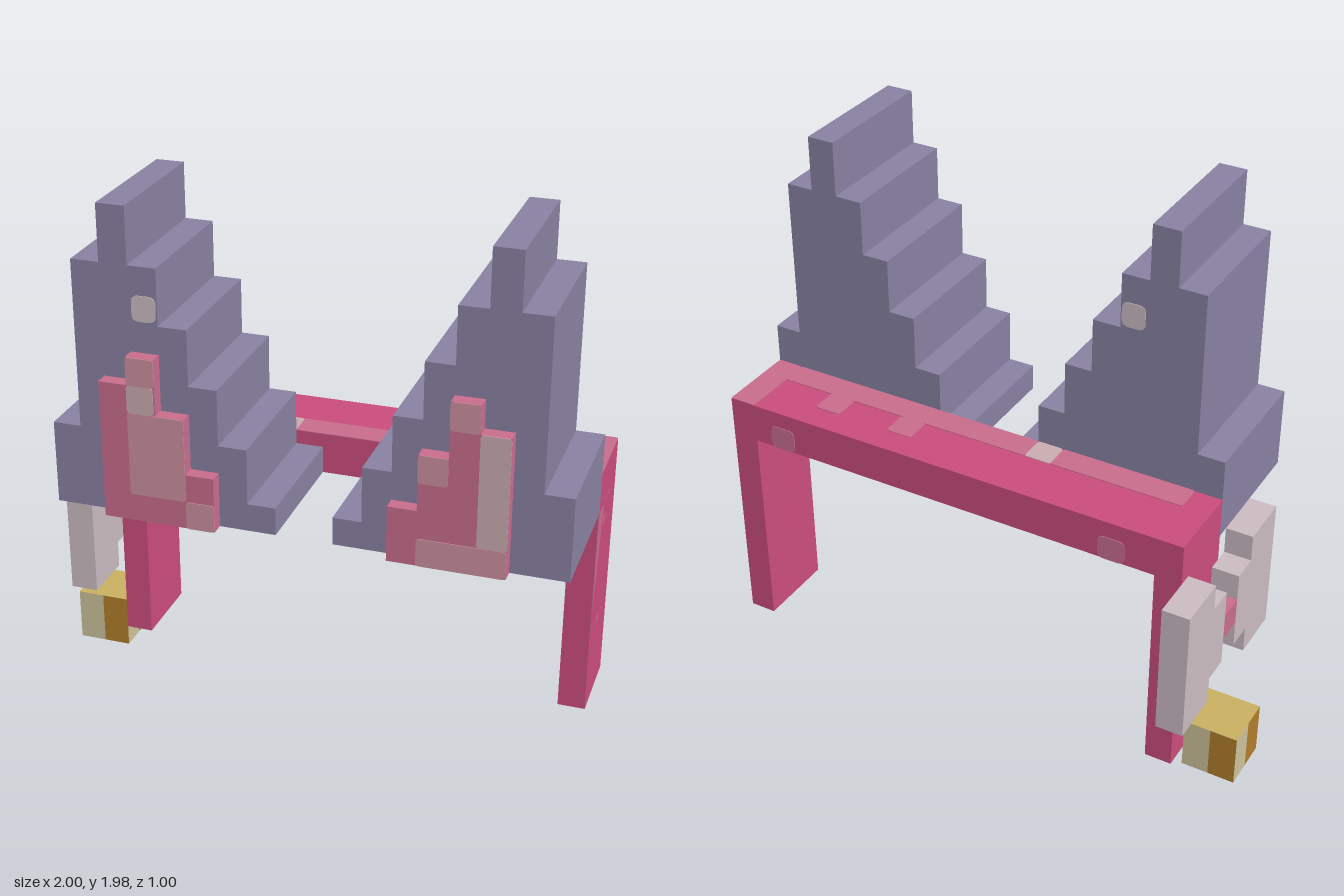
import * as THREE from 'three';

const mat = (name, color) => new THREE.MeshStandardMaterial({ name, color });

export function createModel() {
  const model = new THREE.Group();
  const slate = mat('slate purple', 0x8780a0);
  const pink = mat('strong pink', 0xc94c7c);
  const rose = mat('rose', 0xc76c8c);
  const blush = mat('blush', 0xc98f9c);
  const pale = mat('pale blush', 0xc9aaae);
  const ribbon = mat('greyish ribbon', 0xc9bac0);
  const gold = mat('gold', 0xc8b060);
  const cream = mat('cream', 0xcbc09a);
  const brown = mat('brown', 0xb07c2c);

  const add = (name, geometry, material) => {
    const mesh = new THREE.Mesh(geometry, material);
    mesh.name = name;
    model.add(mesh);
    return mesh;
  };

  // Box given by its limits on each axis
  const box = (name, material, x0, x1, y0, y1, z0, z1) =>
    add(name, new THREE.BoxGeometry(x1 - x0, y1 - y0, z1 - z0), material)
      .position.set((x0 + x1) / 2, (y0 + y1) / 2, (z0 + z1) / 2);

  // Stepped silhouette: one column per 0.1 unit, extruded along z
  const steps = (name, material, xs, dir, heights, z0, z1) => {
    const base = 0.88;
    const pts = [new THREE.Vector2(xs, base)];
    heights.forEach((h, i) => {
      pts.push(new THREE.Vector2(xs + dir * i * 0.1, h), new THREE.Vector2(xs + dir * (i + 1) * 0.1, h));
    });
    pts.push(new THREE.Vector2(xs + dir * heights.length * 0.1, base));
    const geo = new THREE.ExtrudeGeometry(new THREE.Shape(pts), { depth: z1 - z0, bevelEnabled: false });
    geo.translate(0, 0, z0);
    add(name, geo, material);
  };

  // Thin rounded patch lying on a face that looks along 'facing'
  const patch = (name, material, facing, at, u0, u1, v0, v1, r = 0.012) => {
    const w = (u1 - u0) / 2, h = (v1 - v0) / 2;
    const s = new THREE.Shape();
    s.moveTo(-w + r, -h);
    s.lineTo(w - r, -h); s.quadraticCurveTo(w, -h, w, -h + r);
    s.lineTo(w, h - r); s.quadraticCurveTo(w, h, w - r, h);
    s.lineTo(-w + r, h); s.quadraticCurveTo(-w, h, -w, h - r);
    s.lineTo(-w, -h + r); s.quadraticCurveTo(-w, -h, -w + r, -h);
    const m = add(name, new THREE.ExtrudeGeometry(s, { depth: 0.003, bevelEnabled: false, curveSegments: 4 }), material);
    const u = (u0 + u1) / 2, v = (v0 + v1) / 2;
    if (facing === 'front') m.position.set(u, v, at);
    if (facing === 'back') { m.position.set(u, v, at); m.rotation.y = Math.PI; }
    if (facing === 'side') { m.position.set(at, v, u); m.rotation.y = Math.PI / 2; }
    if (facing === 'top') { m.position.set(u, at, v); m.rotation.x = -Math.PI / 2; }
  };

  // Ears and inner ears, mirrored about x = 0.1
  const ear = [1.18, 1.78, 1.98, 1.78, 1.58, 1.38, 1.18, 0.98];
  const inner = [1.38, 1.48, 1.28, 1.08];
  for (const [side, start, innerStart, dir] of [['right', -0.8, -0.6, 1], ['left', 1, 0.8, -1]]) {
    steps(side + 'Ear', slate, start, dir, ear, -0.05, 0.45);
    steps(side + 'InnerEar', rose, innerStart, dir, inner, 0.45, 0.5);
  }
  patch('earSpotFront', ribbon, 'front', 0.45, -0.49, -0.405, 1.59, 1.68, 0.025);
  patch('earSpotBack', ribbon, 'back', -0.05, -0.49, -0.405, 1.59, 1.68, 0.025);

  // Inner ear shading patches
  for (const [m, x0, x1, y0, y1] of [
    [blush, -0.5, -0.4, 1.38, 1.48], [pale, -0.5, -0.405, 1.28, 1.38],
    [blush, -0.5, -0.3, 0.98, 1.28], [blush, -0.3, -0.2, 0.88, 0.98],
    [blush, 0.6, 0.7, 1.38, 1.48], [blush, 0.5, 0.6, 1.18, 1.28],
    [pale, 0.7, 0.8, 0.98, 1.38], [blush, 0.5, 0.8, 0.88, 0.98],
  ]) patch('innerEarPatch', m, 'front', 0.5, x0, x1, y0, y1);

  // Headband: beam and two legs
  box('bandTop', pink, -0.8, 1, 0.88, 1.03, -0.35, -0.05);
  box('rightBandLeg', pink, -0.8, -0.7, 0.08, 0.88, -0.35, -0.05);
  box('leftBandLeg', pink, 0.9, 1, 0.08, 0.88, -0.35, -0.05);

  // Rose patches on the band
  for (const [m, x0, x1, z0, z1] of [
    [rose, -0.7, -0.2, -0.15, -0.05], [pale, -0.2, -0.1, -0.15, -0.05],
    [rose, -0.1, 0.9, -0.15, -0.05], [rose, 0.9, 1, -0.35, -0.05],
    [rose, 0.3, 0.4, -0.25, -0.15], [rose, 0.6, 0.7, -0.25, -0.15],
  ]) patch('bandTopPatch', m, 'top', 1.03, x0, x1, z0, z1);
  for (const [z0, z1, y0, y1] of [
    [-0.15, -0.05, 0.08, 0.88], [-0.25, -0.15, 0.78, 0.88], [-0.25, -0.15, 0.38, 0.48],
  ]) patch('bandSidePatch', rose, 'side', 0.997, z0, z1, y0, y1);
  for (const x of [-0.54, 0.78]) patch('bandBackSpot', rose, 'back', -0.35, x - 0.05, x + 0.05, 0.88, 0.97, 0.025);

  // Bow on the right side, symmetric about z = -0.15
  box('bowKnot', rose, -0.9, -0.8, 0.58, 0.68, -0.2, -0.1);
  for (const s of [1, -1]) {
    const span = (a, b) => [-0.15 + s * a, -0.15 + s * b].sort((p, q) => p - q);
    box('bowFold', ribbon, -0.9, -0.8, 0.48, 0.78, ...span(0.05, 0.15));
    box('bowLoop', ribbon, -0.9, -0.8, 0.38, 0.88, ...span(0.15, 0.35));
  }

  // Bell: each side face is half cream, half brown
  const bell = new THREE.BoxGeometry(0.2, 0.2, 0.2, 2, 1, 2);
  bell.clearGroups();
  [0, 1, 0, 1, 2, 2, 2, 2, 1, 1, 1, 1, 0, 1, 0, 1].forEach((m, i) => bell.addGroup(i * 6, 6, m));
  add('bell', bell, [cream, brown, gold]).position.set(-0.9, 0.1, -0.15);

  return model;
}
